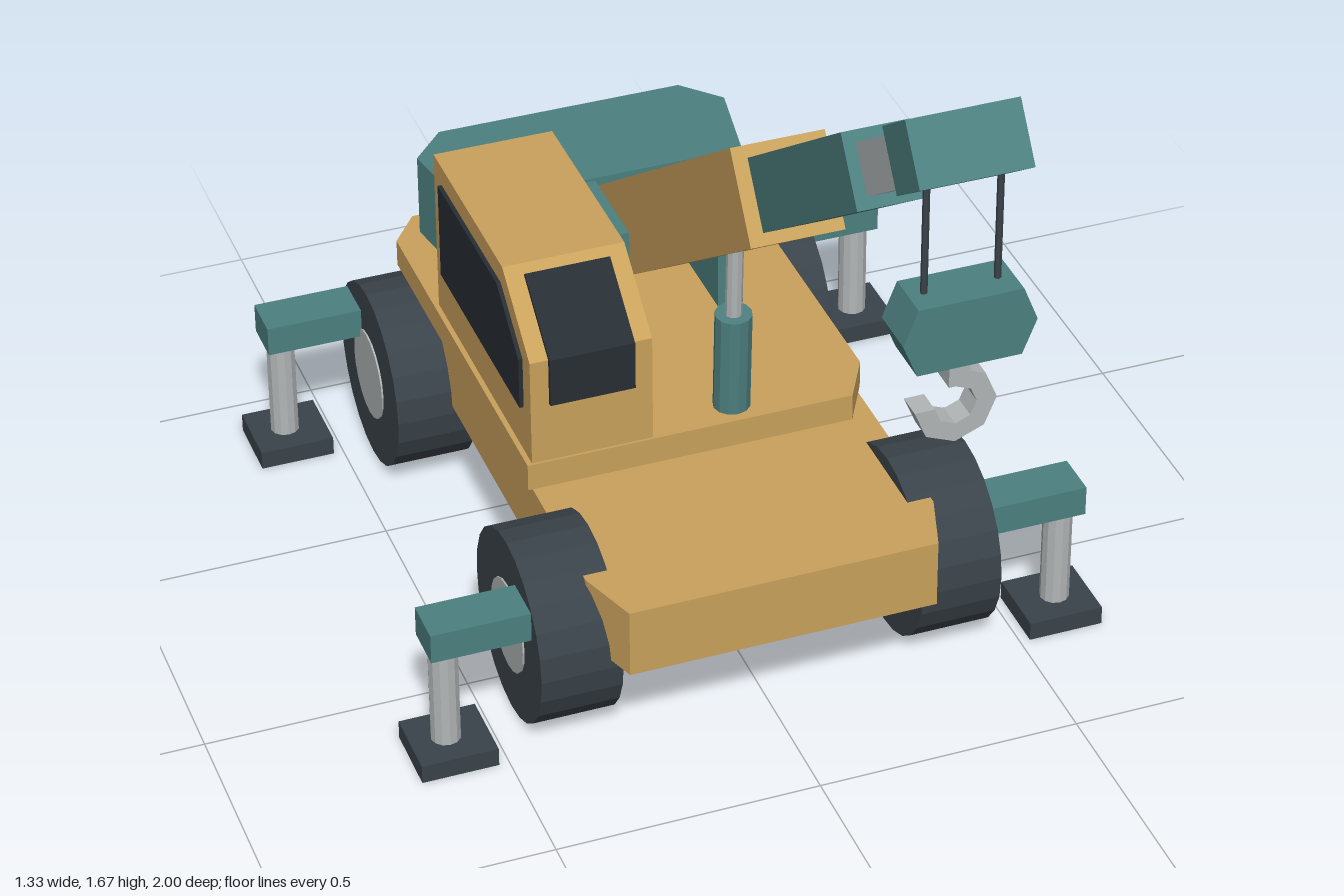
import * as THREE from 'three';

const mat = (color) => new THREE.MeshStandardMaterial({ color, flatShading: true });
const TAN = mat(0xc9a15c), TEAL = mat(0x4d8080), DARK = mat(0x3a434a);
const STEEL = mat(0xb2b6b6), GLASS = mat(0x272e34);

const BOOM_X = 0.047;

export function createModel() {
  const root = new THREE.Group();
  root.name = 'mobileCrane';

  const add = (name, geo, material, x = 0, y = 0, z = 0, parent = root) => {
    const m = new THREE.Mesh(geo, material);
    m.name = name;
    m.position.set(x, y, z);
    parent.add(m);
    return m;
  };
  const box = (name, material, w, h, d, x, y, z, parent) =>
    add(name, new THREE.BoxGeometry(w, h, d), material, x, y, z, parent);
  const rod = (name, material, r, len, sides, x, y, z, alongX = false, parent = root) => {
    const g = new THREE.CylinderGeometry(r, r, len, sides);
    if (alongX) g.rotateZ(Math.PI / 2);
    return add(name, g, material, x, y, z, parent);
  };
  const extrude = (pts, depth) => new THREE.ExtrudeGeometry(
    new THREE.Shape(pts.map(([a, b]) => new THREE.Vector2(a, b))), { depth, bevelEnabled: false });
  // Plan outline in (x, z), raised from y0 to y1
  const slab = (name, material, pts, y0, y1) => add(name,
    extrude(pts.map(([x, z]) => [x, -z]), y1 - y0).rotateX(-Math.PI / 2), material, 0, y0, 0);
  // Side outline in (z, y), spanning x0 to x1
  const side = (name, material, pts, x0, x1) =>
    add(name, extrude(pts, x1 - x0).rotateY(-Math.PI / 2), material, x1, 0, 0);
  const mirrored = (half) => [...half, ...half.map(([x, z]) => [-x, z]).reverse()];

  // Carrier
  slab('chassis', TAN, mirrored([[0.295, 0.32], [0.335, 0.2], [0.335, -0.88], [0.275, -1]]), 0.2, 0.337);
  for (const z of [0.086, -0.76]) {
    rod('axle', DARK, 0.045, 0.7, 16, 0, 0.184, z, true);
    for (const s of [1, -1]) {
      rod('wheel', DARK, 0.184, 0.155, 24, s * 0.367, 0.184, z, true);
      rod('hub', STEEL, 0.09, 0.02, 20, s * 0.438, 0.184, z, true);
    }
  }

  // Outriggers
  for (const z of [0.174, -0.847]) {
    for (const s of [1, -1]) {
      box('outriggerBeam', TEAL, 0.38, 0.06, 0.09, s * 0.442, 0.275, z);
      rod('outriggerLeg', STEEL, 0.028, 0.22, 12, s * 0.597, 0.14, z);
      box('outriggerPad', DARK, 0.145, 0.037, 0.138, s * 0.592, 0.0185, z);
    }
  }

  // Slewing platform
  rod('turntable', DARK, 0.2, 0.07, 32, 0, 0.36, -0.43);
  slab('turretDeck', TAN, [[-0.365, -0.025], [0.265, -0.025], [0.318, -0.12], [0.318, -0.81],
    [0.275, -0.883], [-0.31, -0.883], [-0.365, -0.81]], 0.388, 0.442);
  slab('counterweight', TEAL, mirrored([[0.28, -0.64], [0.313, -0.825], [0.245, -0.9]]), 0.44, 0.61);

  // Cab with wrapped windshield and side window
  side('cab', TAN, [[-0.575, 0.44], [-0.03, 0.44], [-0.03, 0.66], [-0.175, 0.777], [-0.575, 0.777]], -0.355, -0.123);
  side('windshield', GLASS, [[-0.04, 0.565], [-0.022, 0.565], [-0.022, 0.663], [-0.153, 0.768],
    [-0.165, 0.755], [-0.04, 0.655]], -0.32, -0.158);
  side('sideWindow', GLASS, [[-0.53, 0.54], [-0.07, 0.54], [-0.07, 0.645], [-0.185, 0.737], [-0.53, 0.737]], -0.363, -0.345);

  // Boom pivot
  for (const s of [1, -1]) box('boomBracket', TEAL, 0.05, 0.21, 0.19, BOOM_X + s * 0.113, 0.545, -0.477);
  rod('pivotPin', STEEL, 0.035, 0.335, 16, BOOM_X, 0.573, -0.482, true);

  // Telescopic boom: local +z runs along the boom
  const boom = new THREE.Group();
  boom.name = 'boom';
  boom.position.set(BOOM_X, 0.5625, -0.525);
  boom.rotation.x = -THREE.MathUtils.degToRad(35.5);
  root.add(boom);
  const stage = (name, material, w, h, a, b) => box(name, material, w, h, b - a, 0, 0, (a + b) / 2, boom);
  stage('mainBoom', TAN, 0.175, 0.177, 0, 0.886);
  stage('middleBoom', TEAL, 0.12, 0.132, 0.8, 1.405);
  stage('tipBoom', STEEL, 0.076, 0.09, 1.35, 1.75);
  stage('boomHead', TEAL, 0.194, 0.112, 1.72, 1.831);

  // Lift cylinder
  const lift = new THREE.Group();
  lift.name = 'liftCylinder';
  lift.position.set(BOOM_X, 0.44, -0.078);
  lift.rotation.x = 0.05;
  root.add(lift);
  rod('liftBarrel', TEAL, 0.035, 0.21, 12, 0, 0.105, 0, false, lift);
  rod('liftRod', STEEL, 0.016, 0.25, 10, 0, 0.27, 0, false, lift);

  // Cables, hook block and hook
  const hz = 0.945;
  for (const s of [1, -1]) rod('cable', DARK, 0.006, 0.24, 6, BOOM_X + s * 0.063, 1.45, hz);
  add('hookBlock', extrude([[-0.09, 1.225], [0.09, 1.225], [0.115, 1.287], [0.09, 1.35], [-0.09, 1.35],
    [-0.115, 1.287]], 0.09), TEAL, BOOM_X, 0, hz - 0.045);
  const arc = (r) => Array.from({ length: 7 }, (_, i) => {
    const t = -Math.PI + i * Math.PI / 4;
    return [r * Math.cos(t), r * Math.sin(t)];
  });
  add('hook', extrude([...arc(0.071), ...arc(0.036).reverse()], 0.046), STEEL, 0.035, 1.136, hz - 0.023);
  box('hookShank', STEEL, 0.036, 0.055, 0.046, 0.04, 1.2, hz);

  return root;
}
